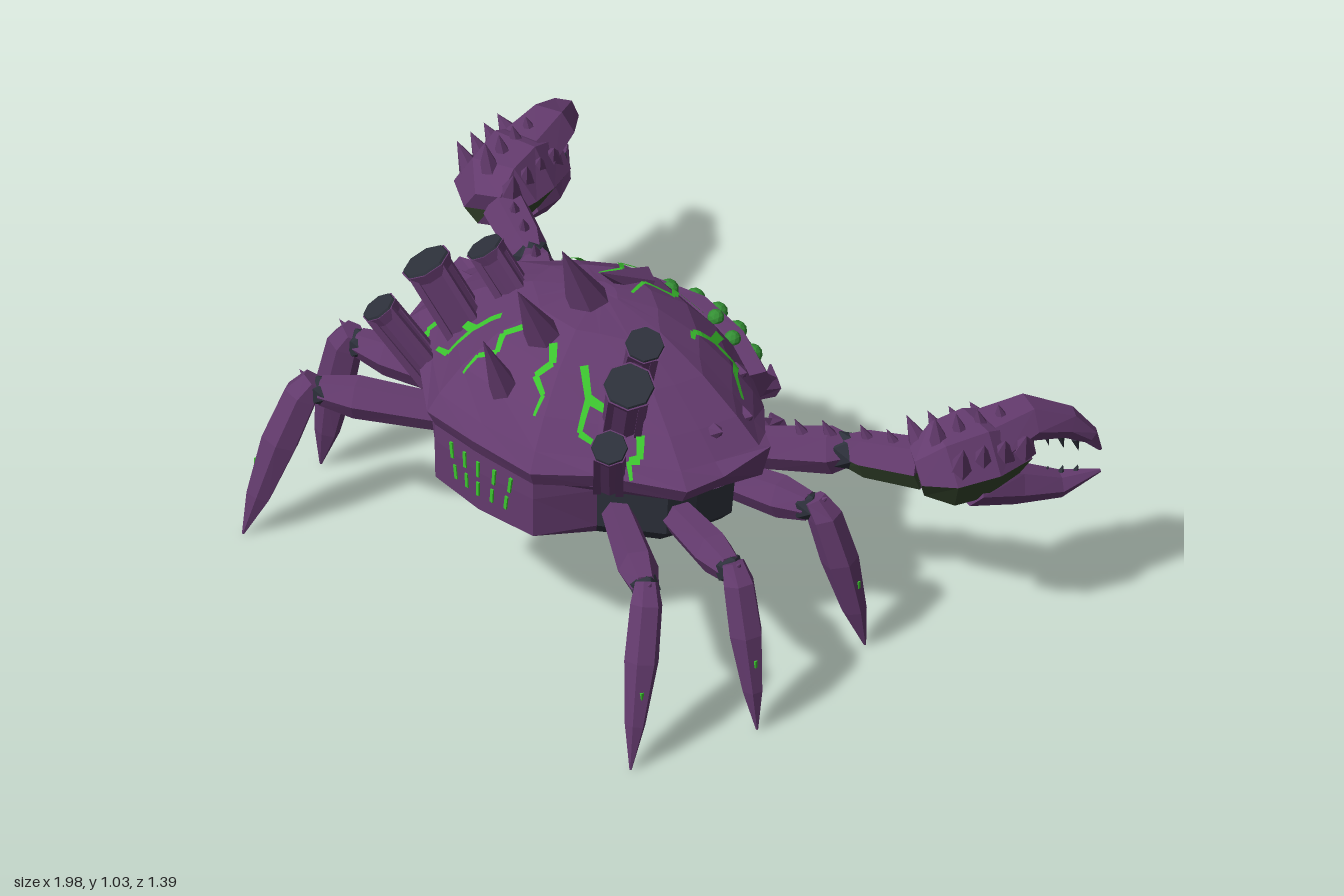
import * as THREE from 'three';

const mat = (name, color, side = THREE.FrontSide) => {
  const m = new THREE.MeshStandardMaterial({ color, flatShading: true, side });
  m.name = name;
  return m;
};
const V = (x, y, z) => new THREE.Vector3(x, y, z);

export function createModel() {
  const root = new THREE.Group();
  root.name = 'armouredCrab';
  const purple = mat('purple shell', 0x643b6e);
  const grey = mat('dark grey', 0x2d313b);
  const olive = mat('dark olive', 0x35452d);
  const glow = mat('glowing green', 0x3cc42f, THREE.DoubleSide);
  const eyeGreen = mat('eye green', 0x348f34);
  const cream = mat('cream teeth', 0xc4ad88);
  const mats = [purple, grey, olive];

  const add = (name, geo, material) => {
    const m = new THREE.Mesh(geo, material);
    m.name = name;
    root.add(m);
    return m;
  };

  // Skin closed rings of points; pick(side, band) chooses the material index.
  function skin(name, rings, pick = () => 0) {
    const lists = mats.map(() => []);
    const n = rings[0].length;
    const put = (l, ...ps) => ps.forEach(p => l.push(p.x, p.y, p.z));
    const mid = r => r.reduce((a, p) => a.add(p), V(0, 0, 0)).divideScalar(n);
    const last = rings.length - 1, c0 = mid(rings[0]), c1 = mid(rings[last]);
    for (let i = 0; i < n; i++) {
      const j = (i + 1) % n;
      for (let k = 0; k < last; k++) {
        const a = rings[k], b = rings[k + 1];
        put(lists[pick(i, k)], a[i], b[i], b[j], a[i], b[j], a[j]);
      }
      put(lists[pick(i, 0)], c0, rings[0][i], rings[0][j]);
      put(lists[pick(i, last - 1)], c1, rings[last][j], rings[last][i]);
    }
    const geo = new THREE.BufferGeometry();
    let start = 0;
    lists.forEach((l, i) => {
      if (l.length) geo.addGroup(start, l.length / 3, i);
      start += l.length / 3;
    });
    geo.setAttribute('position', new THREE.Float32BufferAttribute(lists.flat(), 3));
    geo.computeVertexNormals();
    return add(name, geo, mats);
  }

  // Six-sided limb along a path; each station is [point, halfWidth, halfHeight].
  function limb(name, stations, up, pick) {
    const rings = stations.map(([p, w, h], k) => {
      const a = stations[Math.max(k - 1, 0)][0];
      const b = stations[Math.min(k + 1, stations.length - 1)][0];
      const d = b.clone().sub(a).normalize();
      const side = d.clone().cross(up).normalize();
      const top = side.clone().cross(d);
      return Array.from({ length: 6 }, (_, i) => p.clone()
        .addScaledVector(side, w * Math.cos(i * Math.PI / 3))
        .addScaledVector(top, h * Math.sin(i * Math.PI / 3) / 0.866));
    });
    return skin(name, rings, pick);
  }
  const banded = i => (i === 3 || i === 5 ? 2 : 0);

  // Tapered cylinder or cone between two points.
  function rod(name, a, b, r0, r1, sides, material) {
    const d = b.clone().sub(a);
    const m = add(name, new THREE.CylinderGeometry(r1, r0, d.length(), sides), material);
    m.position.copy(a).addScaledVector(d, 0.5);
    m.quaternion.setFromUnitVectors(V(0, 1, 0), d.normalize());
    return m;
  }
  const spike = (name, a, b, r, material = purple) => rod(name, a, b, r, 0, 6, material);

  // Plan outline of the rim
  const half = [[0, -.21], [.2, -.19], [.38, -.09], [.48, .0], [.575, .07], [.55, .21], [.52, .31],
    [.33, .44], [.19, .545], [0, .565]];
  const rim = [...half, ...half.slice(1, -1).reverse().map(([x, z]) => [-x, z])];
  const ring = (s, y, cz = .15) => rim.map(([x, z], i) => {
    const k = typeof s === 'function' ? s(z) : s;
    return V(x * k, typeof y === 'function' ? y(i, Math.abs(x)) : y, cz + (z - .15) * k);
  });

  // Domed shell, steep fore and aft, flatter at the sides, with a wavy upturned rim
  const dome = t => ring(t, (i, x) => .58 + .265 * (1 - t ** (2.9 - 1.8 * x)), .15 - .03 * (1 - t));
  const shell = skin('shell', [
    ring(.95, i => .53 + .012 * (i % 2)),
    ring(1, (i, x) => .575 + .015 * (i % 2) + (x > .56 ? .055 : 0)),
    ...[.93, .8, .6, .35, .1].map(dome)]);

  // Lower body: purple rear plate, grey hull and oval belly
  const back = (b, f) => z => (z > .5 ? b : f);
  skin('body', [ring(.5, .315, .18), ring(.72, .335), ring(back(.95, .78), .37),
    ring(back(.955, .8), .485), ring(.95, .54)],
  (i, k) => (k > 2 || (k > 0 && i >= 7 && i <= 10) ? 0 : 1));
  const belly = add('belly', new THREE.CylinderGeometry(1.1, .92, .06, 14), grey);
  belly.scale.set(.22, 1, .23);
  belly.position.set(0, .305, .19);

  // Surface point on the shell from above
  shell.updateMatrixWorld();
  const ray = new THREE.Raycaster();
  function onShell(x, z) {
    ray.set(V(x, 2, z), V(0, -1, 0));
    const hit = ray.intersectObject(shell)[0];
    return hit ? hit.point.addScaledVector(hit.face.normal, .007) : V(x, .6, z);
  }

  // Glowing crack as a thin ribbon draped over the shell
  function crack(pts, w) {
    const pos = [];
    for (let k = 0; k < pts.length - 1; k++) {
      const [ax, az] = pts[k], [bx, bz] = pts[k + 1];
      const len = Math.hypot(bx - ax, bz - az), nx = -(bz - az) / len, nz = (bx - ax) / len;
      const edge = (f, s) => {
        const ww = w * s * (1 - (k + f) / pts.length * .8);
        return onShell(ax + (bx - ax) * f + nx * ww, az + (bz - az) * f + nz * ww);
      };
      for (let q = 0; q < 5; q++) {
        const a = edge(q / 5, 1), b = edge(q / 5, -1), c = edge((q + 1) / 5, -1), d = edge((q + 1) / 5, 1);
        [a, b, c, a, c, d].forEach(p => pos.push(p.x, p.y, p.z));
      }
    }
    const geo = new THREE.BufferGeometry();
    geo.setAttribute('position', new THREE.Float32BufferAttribute(pos, 3));
    geo.computeVertexNormals();
    add('glowCrack', geo, glow);
  }
  const cracks = [
    [[.2, -.1], [.24, -.04], [.3, -.06], [.33, -.03], [.4, .01]],
    [[.24, -.04], [.22, .01], [.24, .03]],
    [[.11, -.13], [.06, -.08], [.1, -.04], [.04, .01], [.06, .07]],
    [[.05, .33], [.09, .37], [.07, .41], [.12, .43], [.13, .47]],
    [[.15, .32], [.21, .36], [.24, .42], [.3, .4]],
    [[.21, .36], [.27, .34], [.3, .36]],
    [[.36, .32], [.39, .35], [.37, .37], [.4, .39]]];

  // Dorsal spikes along the spine
  [[.8, -.02, .9, .125, .045], [.79, .15, 1.03, .255, .07], [.73, .29, .98, .41, .07], [.64, .43, .885, .53, .055]]
    .forEach(([y0, z0, y1, z1, r]) => spike('dorsalSpike', V(0, y0, z0), V(0, y1, z1), r));

  // Green slashes on the rear plate
  for (let i = -2; i <= 2; i++) for (const [y, h] of [[.495, .045], [.435, .04]]) {
    const m = add('rearSlash', new THREE.BoxGeometry(.01, h, .006), glow);
    m.position.set(i * (.05 + (y - .465) * .12), y, .547 - .0053 * Math.abs(i));
    m.rotation.z = -i * .07;
  }

  // Mouth with long rows of teeth
  const mouth = add('mouth', new THREE.SphereGeometry(1, 12, 8), grey);
  mouth.scale.set(.18, .085, .1);
  mouth.position.set(0, .51, -.17);
  for (let i = -3; i <= 3; i++) {
    const x = i * .034, z = -.272 + x * x * 2.5;
    spike('upperTooth', V(x, .58, z), V(x * .9, .495, z - .012), .018, cream);
    if (i < 3) spike('lowerTooth', V(x + .017, .44, z + .03), V(x + .014, .505, z - .008), .015, cream);
  }
  limb('brow', [-.28, -.15, 0, .15, .28].map(x => [V(x, .605 - x * x * .6, -.22 + x * x * .8), .045, .045]), V(0, 1, 0));

  // Clustered eyes around the brow in uneven sizes
  for (let i = -5; i <= 5; i++) {
    const x = i * .042, odd = Math.abs(i) % 2;
    add('eye', new THREE.IcosahedronGeometry(odd ? .027 : .022, 1), eyeGreen)
      .position.set(x, .6 + odd * .022 - x * x * .6, -.248 + x * x * .9);
    if (!odd && i) add('eye', new THREE.IcosahedronGeometry(.022, 1), eyeGreen)
      .position.set(x, .652 - x * x * .6, -.208 + x * x);
  }

  for (const s of [1, -1]) {
    const P = (x, y, z) => V(s * x, y, z);
    const frontBand = i => (i === (s > 0 ? 3 : 5) ? 2 : 0);
    cracks.forEach(c => crack(c.map(([x, z]) => [s * x, z]), .011));

    // Exhaust vents with dark caps and ribs
    [[P(.19, .68, .18), P(.295, .885, .245), .048], [P(.255, .6, .29), P(.375, .86, .375), .062],
      [P(.325, .55, .395), P(.425, .75, .49), .045]].forEach(([a, b, r]) => {
      const d = b.clone().sub(a).normalize();
      rod('vent', a, b, r * .85, r * .92, 8, purple);
      rod('ventRim', b.clone().addScaledVector(d, -.03), b, r * .95, r * 1.12, 8, purple);
      rod('ventCap', b, b.clone().addScaledVector(d, .006), r * 1.05, r, 8, grey);
      const u = d.clone().cross(V(0, 0, 1)).normalize(), w = d.clone().cross(u);
      for (let i = 0; i < 4; i++) {
        const o = u.clone().multiplyScalar(Math.cos(i * Math.PI / 2) * r * .9)
          .addScaledVector(w, Math.sin(i * Math.PI / 2) * r * .9);
        rod('ventRib', a.clone().add(o), b.clone().add(o), .014, .012, 4, purple);
      }
    });

    // Small thorns on the shell flanks
    [[.46, .15], [.44, .03], [.3, -.08]].forEach(([x, z]) => {
      const p = onShell(s * x, z);
      spike('shellThorn', p.clone().add(P(-.02, -.02, 0)), p.clone().add(P(.04, .02, .02)), .028);
    });

    // Walking legs: hip, knee, tip
    [[P(.28, .41, .33), P(.6, .425, .53), P(.715, 0, .69)],
      [P(.34, .41, .22), P(.685, .425, .315), P(.805, 0, .335)],
      [P(.3, .42, .06), P(.62, .425, -.02), P(.72, 0, -.12)]].forEach(([hip, knee, tip]) => {
      const at = f => hip.clone().lerp(knee, f);
      limb('thigh', [[at(0), .04, .04], [at(.3), .045, .045], [at(.75), .052, .05], [at(1), .035, .035]], V(0, 1, 0), frontBand);
      add('knee', new THREE.IcosahedronGeometry(.042, 0), grey).position.copy(at(.98));
      const out = V(knee.x - hip.x, 0, knee.z - hip.z).normalize();
      const shin = (f, bulge) => knee.clone().lerp(tip, f).addScaledVector(out, bulge).add(V(0, .03 * (1 - f), 0));
      limb('shin', [[shin(0, .015), .03, .03], [shin(.1, .03), .042, .042], [shin(.4, .025), .045, .045],
        [shin(.75, .01), .027, .03], [shin(1, 0), .003, .003]], out);
      spike('kneeThorn', shin(.03, .02), shin(-.05, .065), .018);
      add('shinMark', new THREE.BoxGeometry(.008, .02, .008), glow).position.copy(shin(.55, .056));
    });

    // Claw arm
    const arm = [P(.24, .44, .02), P(.58, .495, -.19), P(.77, .51, -.275)];
    const along = (i, f) => arm[i].clone().lerp(arm[i + 1], f);
    limb('upperArm', [[along(0, 0), .045, .05], [along(0, .5), .05, .05], [along(0, .9), .058, .055], [along(0, 1), .04, .04]], V(0, 1, 0), frontBand);
    limb('foreArm', [[along(1, 0), .035, .04], [along(1, .25), .055, .055], [along(1, 1), .06, .06]], V(0, 1, 0), banded);
    add('elbow', new THREE.IcosahedronGeometry(.054, 0), grey).position.copy(arm[1]);
    [[0, .72], [0, .9], [1, .3], [1, .65]].forEach(([i, f]) => {
      const p = along(i, f).add(V(0, .035, 0));
      spike('armThorn', p, p.clone().add(P(-.015, .06, .02)), .022);
    });

    // Pincer hand and fingers
    limb('hand', [[P(.79, .515, -.235), .065, .055], [P(.825, .53, -.29), .115, .095], [P(.85, .535, -.38), .125, .1],
      [P(.865, .525, -.49), .095, .07]], V(0, 1, 0), banded);
    limb('upperFinger', [[P(.86, .57, -.42), .095, .06], [P(.885, .59, -.53), .075, .048], [P(.935, .555, -.625), .045, .035],
      [P(.97, .51, -.67), .022, .02], [P(.985, .465, -.69), .004, .004]], V(0, 1, 0));
    limb('lowerFinger', [[P(.845, .455, -.36), .085, .05], [P(.88, .405, -.49), .065, .045], [P(.93, .375, -.6), .04, .03],
      [P(.985, .4, -.69), .004, .004]], V(0, 1, 0));
    for (let i = 0; i < 4; i++) {
      const x = .885 + i * .02, z = -.54 - i * .033;
      spike('upperClawTooth', P(x, .555 - i * .017, z), P(x, .5 - i * .014, z - .012), .012, grey);
      spike('lowerClawTooth', P(x, .395, z), P(x, .43 - i * .004, z - .01), .012, grey);
    }

    // Crest of thick thorns over the hand
    for (let r = -1; r <= 1; r++) for (let k = 0; k < 4; k++) {
      const x = .83 + k * .014 + r * .07, z = -.28 - k * .06, y = .595 - Math.abs(r) * .025;
      spike('handThorn', P(x, y - .015, z), P(x + r * .035, y + .095 - k * .008 - Math.abs(r) * .02, z + .02), .036);
    }

    // Mandibles and cheek plates
    limb('mandible', [[P(.2, .43, -.12), .035, .035], [P(.26, .385, -.19), .04, .035], [P(.25, .355, -.26), .03, .03],
      [P(.16, .33, -.32), .004, .004]], V(0, 1, 0), banded);
    limb('cheek', [[P(.18, .55, -.12), .05, .05], [P(.23, .53, -.19), .045, .05], [P(.25, .5, -.24), .025, .025],
      [P(.17, .49, -.31), .004, .004]], V(0, 1, 0));
  }
  return root;
}
